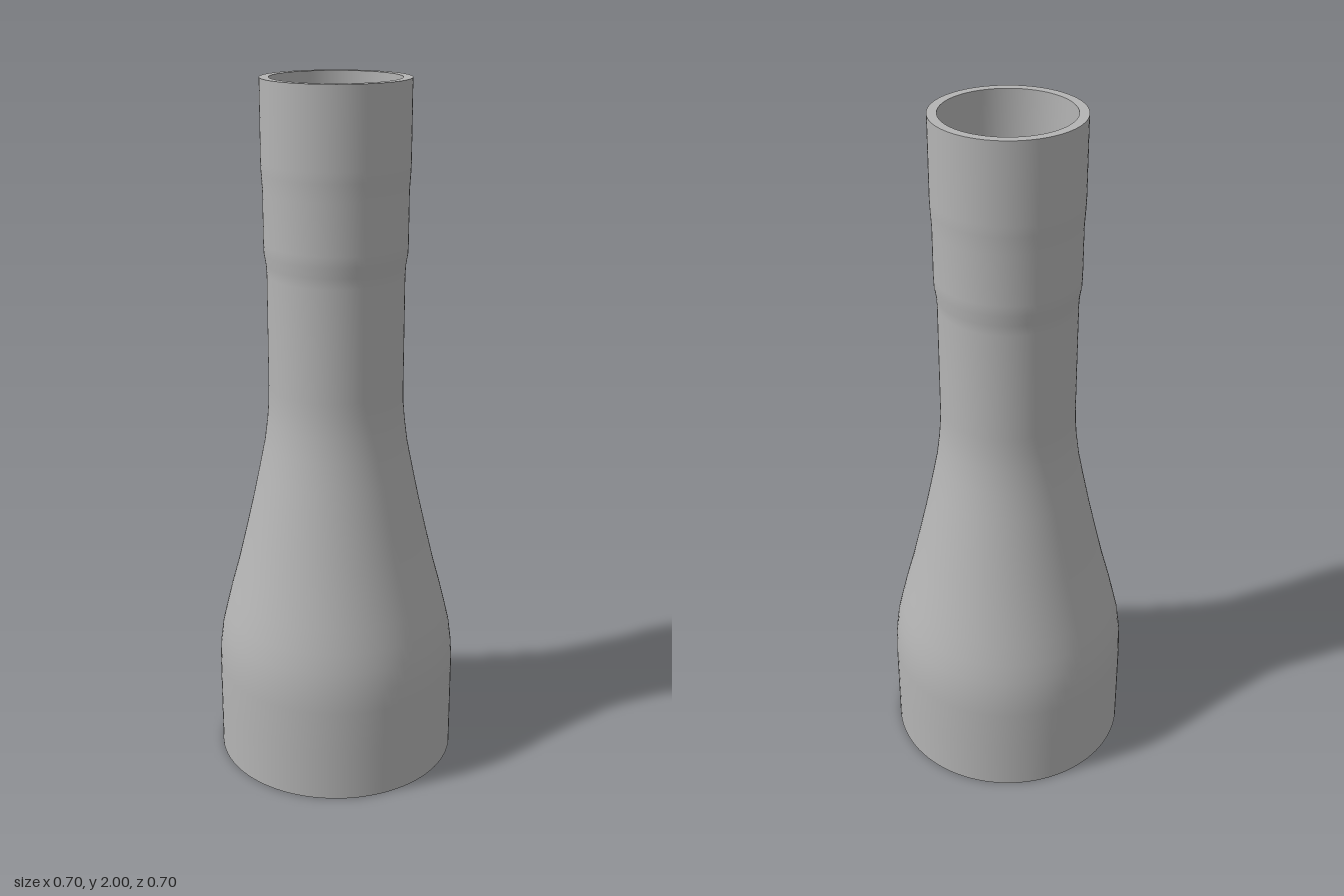
import * as THREE from 'three';
import { toCreasedNormals } from 'three/addons/utils/BufferGeometryUtils.js';

const SEGMENTS = 96;
const BORE = 0.318, SLOT = 0.336, LINER = 0.345, BASE = 0.352;
const SLOT_LOW = 0.11, SLOT_TOP = 0.18;

export function createModel() {
  const grey = new THREE.MeshStandardMaterial({ color: 0xb4b4b4 });
  grey.name = 'grey';
  const group = new THREE.Group();
  group.name = 'flaredTube';

  const add = (name, geometry) => {
    const mesh = new THREE.Mesh(geometry, grey);
    mesh.name = name;
    group.add(mesh);
    return mesh;
  };
  const vec = (pts) => pts.map(([r, y]) => new THREE.Vector2(r, y));
  const lathe = (name, pts) => add(name, new THREE.LatheGeometry(vec(pts), SEGMENTS));

  // Outer wall: straight base, S-shaped flare, neck and two slight collars
  lathe('outerWall', [
    [BASE, 0], [BASE, 0.15], [BASE, 0.28], [0.349, 0.34], [0.341, 0.4], [0.328, 0.455],
    [0.312, 0.52], [0.29, 0.6], [0.266, 0.7], [0.243, 0.8], [0.222, 0.9], [0.206, 0.98],
    [0.197, 1.05], [0.193, 1.1], [0.192, 1.15], [0.192, 1.3], [0.192, 1.47], [0.194, 1.5],
    [0.199, 1.53], [0.2, 1.56], [0.2, 1.7], [0.203, 1.75], [0.204, 1.78], [0.204, 2],
  ]);

  // Top rim and inner wall
  lathe('topRim', [[0.204, 2], [0.178, 2]]);
  lathe('innerWall', [
    [0.178, 2], [0.178, 1.76], [0.173, 1.71], [0.172, 1.56], [0.167, 1.5], [0.167, 1.15],
    [0.169, 1.08], [0.18, 0.98], [0.216, 0.8], [0.262, 0.6], [0.298, 0.455],
    [0.312, 0.37], [BORE, 0.29], [BORE, SLOT_TOP],
  ]);

  // Underside edge and the ceiling of the locking slots
  lathe('bottomEdge', [[LINER, 0], [BASE, 0]]);
  lathe('slotCeiling', [[BORE, SLOT_TOP], [LINER, SLOT_TOP]]);

  // Ring layer whose bore has two opposite notches between the given degrees
  const notchedRing = (name, from, to, y0, y1) => {
    const shape = new THREE.Shape().absarc(0, 0, LINER, 0, Math.PI * 2);
    const points = [];
    const put = (r, deg) => {
      const a = THREE.MathUtils.degToRad(deg);
      points.push(new THREE.Vector2(r * Math.cos(a), -r * Math.sin(a)));
    };
    for (const turn of [0, 180]) {
      const notchSteps = 8, boreSteps = 44;
      for (let i = 0; i <= notchSteps; i++) put(SLOT, turn + from + (to - from) * i / notchSteps);
      const span = 180 - (to - from);
      for (let i = 0; i <= boreSteps; i++) put(BORE, turn + to + span * i / boreSteps);
    }
    shape.holes.push(new THREE.Path(points));
    const geometry = new THREE.ExtrudeGeometry(shape, {
      depth: y1 - y0, bevelEnabled: false, curveSegments: SEGMENTS,
    });
    geometry.rotateX(-Math.PI / 2).translate(0, y0, 0);
    add(name, toCreasedNormals(geometry, Math.PI / 6));
  };

  // L-shaped locking slots: narrow entry at the rim, wide turn above it
  notchedRing('slotEntryRing', 0, 13, 0, SLOT_LOW);
  notchedRing('slotTurnRing', -24, 13, SLOT_LOW, SLOT_TOP);

  return group;
}
